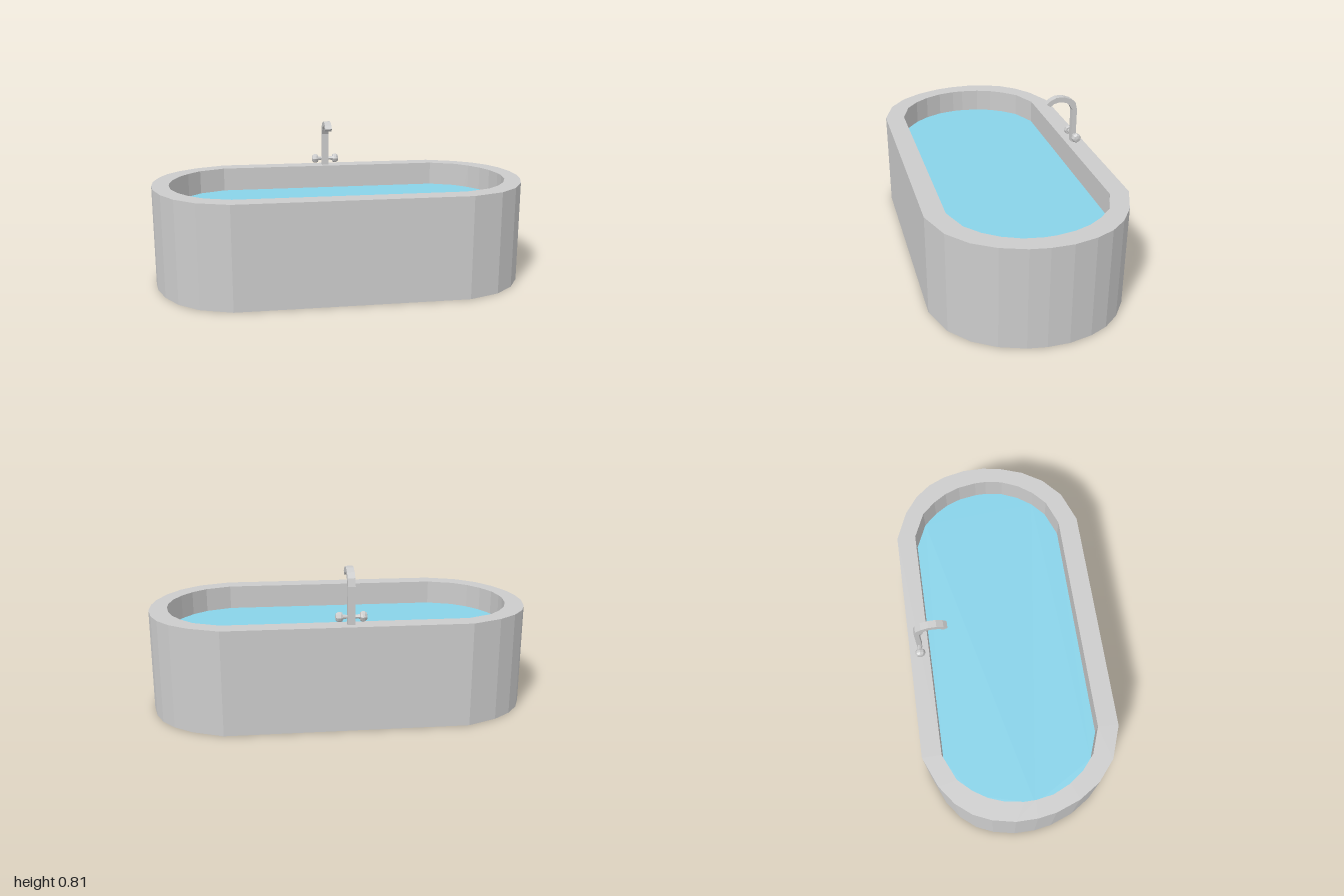
import * as THREE from 'three';

const grey = new THREE.MeshStandardMaterial({ color: 0xcccccc, flatShading: true });
const blue = new THREE.MeshStandardMaterial({ color: 0x88d2e8, flatShading: true });

// Right-hand ends of the outlines as [x, z], back to front
const outerEnd = [[0.62, -0.505], [0.775, -0.44], [0.87, -0.37], [0.935, -0.29], [0.975, -0.2], [1, -0.085],
  [1, 0.025], [0.985, 0.12], [0.94, 0.245], [0.87, 0.355], [0.765, 0.445], [0.6, 0.505]];
const innerEnd = [[0.62, -0.405], [0.755, -0.345], [0.82, -0.275], [0.865, -0.205], [0.895, -0.125], [0.91, -0.03],
  [0.91, 0.03], [0.895, 0.12], [0.855, 0.21], [0.8, 0.285], [0.725, 0.35], [0.59, 0.4]];

const mirrorOutline = end => [...end, ...end.map(([x, z]) => [-x, z]).reverse()];

// Flat panel filling an outline, facing up or down
function panel(outline, y, up) {
  const s = up ? -1 : 1;
  const shape = new THREE.Shape(outline.map(([x, z]) => new THREE.Vector2(x, s * z)));
  return new THREE.ShapeGeometry(shape).rotateX(s * Math.PI / 2).translate(0, y, 0);
}

// Walls joining successive outlines, each { outline, y }
function loft(rings) {
  const positions = [];
  for (let k = 0; k < rings.length - 1; k++) {
    const n = rings[k].outline.length;
    const at = (r, i) => [r.outline[i % n][0], r.y, r.outline[i % n][1]];
    for (let i = 0; i < n; i++) {
      const a = at(rings[k], i), b = at(rings[k], i + 1);
      const c = at(rings[k + 1], i), d = at(rings[k + 1], i + 1);
      positions.push(...a, ...c, ...b, ...b, ...c, ...d);
    }
  }
  const g = new THREE.BufferGeometry();
  g.setAttribute('position', new THREE.Float32BufferAttribute(positions, 3));
  g.computeVertexNormals();
  return g;
}

export function createModel() {
  const model = new THREE.Group();
  model.name = 'bathtub';
  const add = (name, geometry, material = grey, parent = model) => {
    const mesh = new THREE.Mesh(geometry, material);
    mesh.name = name;
    parent.add(mesh);
    return mesh;
  };

  // Tub shell: outer wall, rim and inner wall, closed by two panels
  const outer = mirrorOutline(outerEnd), inner = mirrorOutline(innerEnd);
  add('tubWalls', loft([
    { outline: outer, y: 0 }, { outline: outer, y: 0.54 },
    { outline: inner, y: 0.54 }, { outline: inner, y: 0.1 },
  ]));
  add('tubUnderside', panel(outer, 0, false));
  add('tubFloor', panel(inner, 0.1, true));
  add('water', panel(inner, 0.41, true), blue);

  const tap = new THREE.Group();
  tap.name = 'tap';
  tap.position.x = -0.018;
  model.add(tap);

  // Curved spout: side profile as [z, y], extruded across its width
  const profile = [[-0.462, 0.53], [-0.462, 0.73], [-0.452, 0.77], [-0.422, 0.793], [-0.382, 0.808], [-0.341, 0.808],
    [-0.307, 0.792], [-0.288, 0.774], [-0.309, 0.758], [-0.328, 0.774], [-0.36, 0.781], [-0.398, 0.774],
    [-0.419, 0.758], [-0.437, 0.726], [-0.437, 0.53]];
  const spout = new THREE.ExtrudeGeometry(
    new THREE.Shape(profile.map(p => new THREE.Vector2(...p))), { depth: 0.038, bevelEnabled: false });
  add('spout', spout.rotateY(-Math.PI / 2).translate(0.019, 0, 0), grey, tap);

  // Handles: tapered rod and faceted knob turned about the x axis
  const handle = [[0.009, 0], [0.009, 0.02], [0.013, 0.044], [0.022, 0.044], [0.026, 0.053],
    [0.026, 0.065], [0.019, 0.076], [0, 0.08]].map(p => new THREE.Vector2(...p));
  for (const side of [1, -1]) {
    const g = new THREE.LatheGeometry(handle, 8).rotateZ(-side * Math.PI / 2);
    add(side > 0 ? 'leftHandle' : 'rightHandle', g, grey, tap).position.set(0, 0.578, -0.449);
  }
  return model;
}
